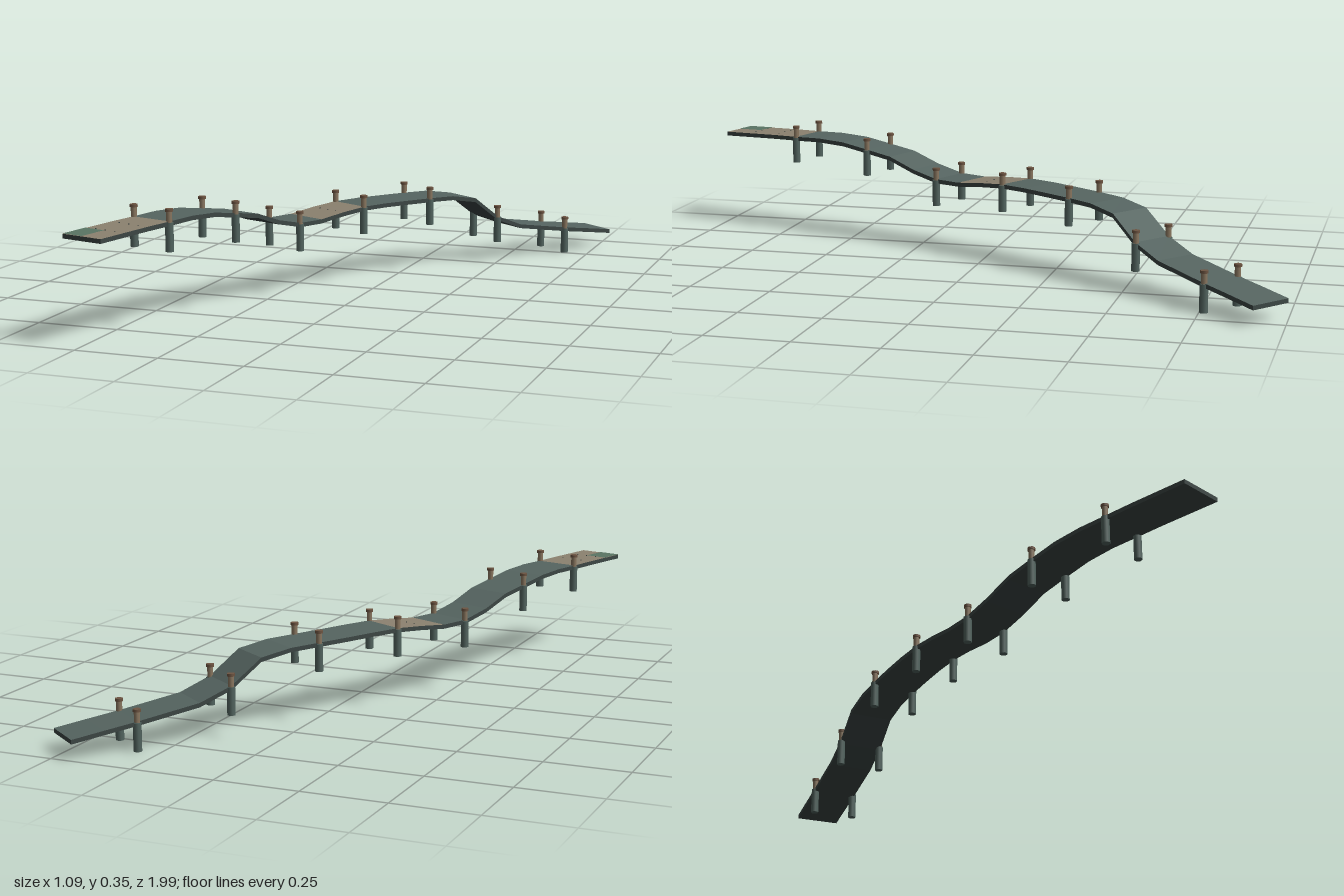
import * as THREE from 'three';

const mat = (name, color) => {
  const m = new THREE.MeshStandardMaterial({ color });
  m.name = name;
  return m;
};

// Centre line of the walkway in plan (x, z), one point per pair of posts plus both ends
const PLAN = [
  [-0.48, 0.978], [-0.408, 0.702], [-0.327, 0.425], [-0.23, 0.157], [-0.112, -0.095],
  [0.03, -0.34], [0.193, -0.577], [0.368, -0.803], [0.488, -0.956],
];
// Deck height at each of the 24 stations
const HEIGHT = [
  0.311, 0.313, 0.315, 0.316, 0.318, 0.313, 0.298, 0.283, 0.25, 0.229, 0.228, 0.238,
  0.245, 0.245, 0.243, 0.241, 0.238, 0.222, 0.152, 0.115, 0.1, 0.086, 0.073, 0.06,
];
const HALF = 0.069, THICK = 0.013, LAST = HEIGHT.length - 1;

const curve = new THREE.CatmullRomCurve3(PLAN.map(([x, z]) => new THREE.Vector3(x, 0, z)));

// Point on the deck: s = station (may be fractional), u = sideways distance, dy = offset from the top
function at(s, u, dy = 0) {
  const t = (s <= 21 ? s / 3 : 7 + (s - 21) / 2) / 8;
  const p = curve.getPoint(t), d = curve.getTangent(t);
  const i = Math.min(Math.floor(s), LAST - 1);
  const y = THREE.MathUtils.lerp(HEIGHT[i], HEIGHT[i + 1], s - i);
  return new THREE.Vector3(p.x - d.z * u, y + dy, p.z + d.x * u);
}

// Flat-shaded geometry from four-cornered faces
function quads(list) {
  const pos = [];
  for (const [a, b, c, d] of list) for (const v of [a, b, c, a, c, d]) pos.push(v.x, v.y, v.z);
  const g = new THREE.BufferGeometry();
  g.setAttribute('position', new THREE.Float32BufferAttribute(pos, 3));
  g.computeVertexNormals();
  return g;
}

// Top faces between two stations
function strip(from, to, u0, u1, dy = 0) {
  const faces = [];
  for (let s = from; s < to; s++) {
    const e = Math.min(s + 1, to);
    faces.push([at(s, u0, dy), at(s, u1, dy), at(e, u1, dy), at(e, u0, dy)]);
  }
  return quads(faces);
}

export function createModel() {
  const model = new THREE.Group();
  model.name = 'walkway';
  const slate = mat('slate deck', 0x566561);
  const tan = mat('tan planks', 0x8c8270);
  const moss = mat('moss patch', 0x5a7564);
  const dark = mat('dark underside', 0x3c4644);
  const postGreen = mat('post green', 0x52645f);
  const wood = mat('post wood', 0x8a7760);
  const rust = mat('cap brown', 0x6e5542);

  const add = (name, geo, material, parent = model) => {
    const m = new THREE.Mesh(geo, material);
    m.name = name;
    parent.add(m);
    return m;
  };

  // Deck surface in coloured stretches
  add('frontPlanks', strip(0, 3, -HALF, HALF), tan);
  add('upperDeck', strip(3, 10, -HALF, HALF), slate);
  add('middlePlanks', strip(10, 12, -HALF, HALF), tan);
  add('lowerDeck', strip(12, LAST, -HALF, HALF), slate);
  add('cornerPatch', strip(0, 0.95, -HALF, 0, 0.001), moss);

  // Sides, underside and both ends
  const faces = [];
  for (let s = 0; s < LAST; s++) {
    const [l0, r0, l1, r1] = [at(s, -HALF), at(s, HALF), at(s + 1, -HALF), at(s + 1, HALF)];
    const [bl0, br0, bl1, br1] = [at(s, -HALF, -THICK), at(s, HALF, -THICK),
      at(s + 1, -HALF, -THICK), at(s + 1, HALF, -THICK)];
    faces.push([bl0, bl1, br1, br0], [br0, br1, r1, r0], [bl1, bl0, l0, l1]);
    if (s === 0) faces.push([bl0, br0, r0, l0]);
    if (s === LAST - 1) faces.push([br1, bl1, l1, r1]);
  }
  add('deckUnderside', quads(faces), dark);

  // Small nail heads on the planked stretches
  const nailGeo = new THREE.CylinderGeometry(0.002, 0.002, 0.002, 6);
  for (const s of [1, 2, 11]) {
    for (const u of [-0.035, 0, 0.035]) add('nail', nailGeo, dark).position.copy(at(s, u, 0.001));
  }

  // Pairs of posts: pile, wooden neck and cap
  const pileGeo = new THREE.CylinderGeometry(0.0125, 0.0125, 0.083, 8);
  const neckGeo = new THREE.CylinderGeometry(0.009, 0.009, 0.034, 8);
  const capGeo = new THREE.CylinderGeometry(0.012, 0.012, 0.008, 8);
  for (let s = 3; s <= 21; s += 3) {
    for (const side of [-1, 1]) {
      const post = new THREE.Group();
      post.name = side < 0 ? 'rightPost' : 'leftPost';
      post.position.copy(at(s, side * 0.066, -0.086));
      add('pile', pileGeo, postGreen, post).position.y = 0.0415;
      add('neck', neckGeo, wood, post).position.y = 0.099;
      add('cap', capGeo, rust, post).position.y = 0.118;
      model.add(post);
    }
  }
  return model;
}
